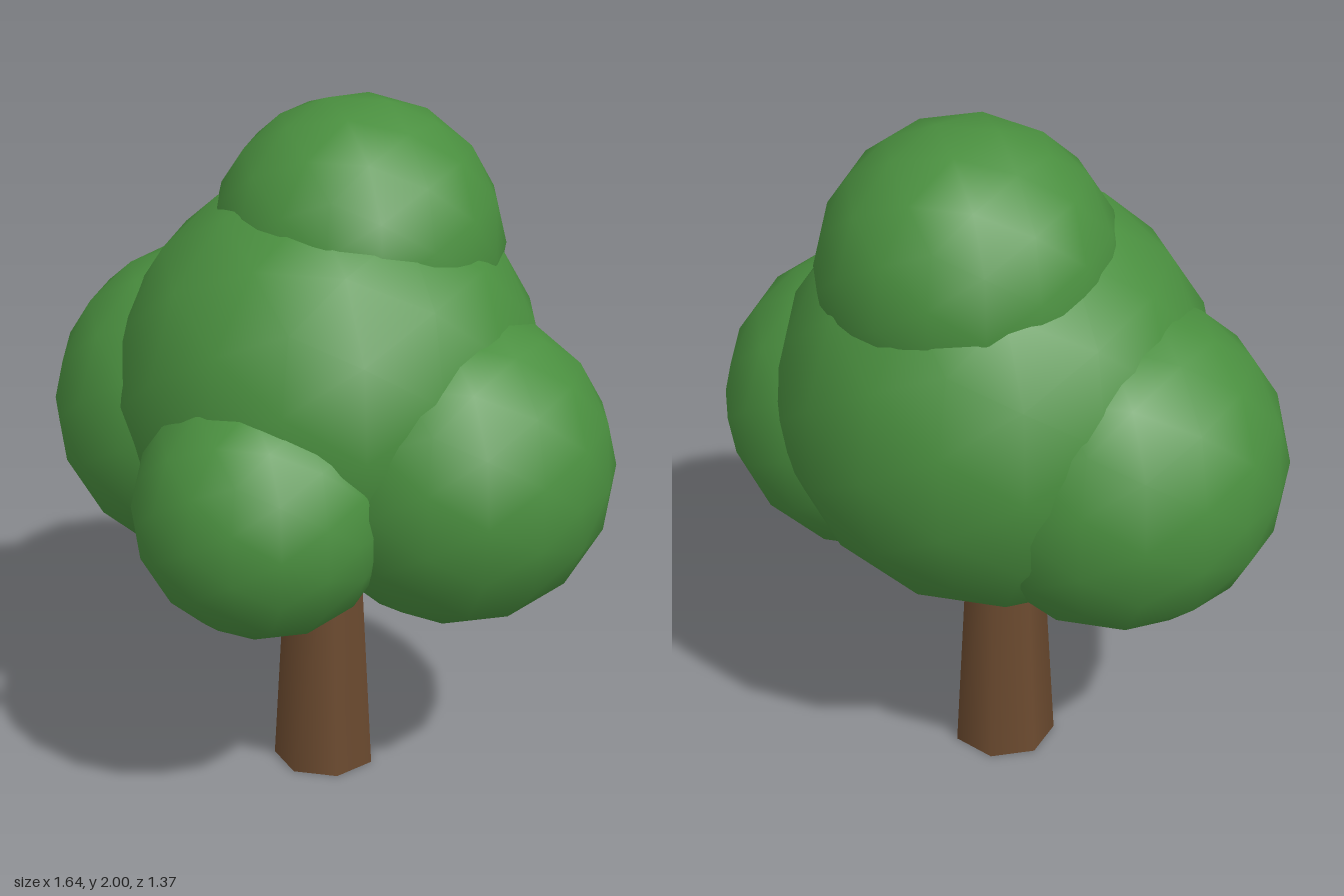
import * as THREE from 'three';

export function createModel() {
  const tree = new THREE.Group();
  tree.name = 'tree';

  const bark = new THREE.MeshStandardMaterial({ color: 0x6b4a2f });
  bark.name = 'bark brown';
  const leaves = new THREE.MeshStandardMaterial({ color: 0x4a8f3f });
  leaves.name = 'leaf green';

  // Tapered seven-sided trunk, running up into the crown
  const height = 0.75;
  const trunk = new THREE.Mesh(new THREE.CylinderGeometry(0.11, 0.152, height, 7), bark);
  trunk.name = 'trunk';
  trunk.rotation.y = Math.PI;
  trunk.position.set(-0.013, height / 2, -0.07);
  tree.add(trunk);

  // Overlapping round clumps of foliage: name, radius, centre
  const clumps = [
    ['mainFoliage', 0.614, 0, 1.2, -0.086],
    ['topFoliage', 0.415, 0.06, 1.593, -0.154],
    ['rightFoliage', 0.47, -0.36, 1.077, -0.18],
    ['leftFoliage', 0.447, 0.382, 1.037, 0.055],
    ['frontFoliage', 0.363, -0.097, 0.98, 0.328],
  ];
  for (const [name, radius, x, y, z] of clumps) {
    const clump = new THREE.Mesh(new THREE.IcosahedronGeometry(radius, 2), leaves);
    clump.name = name;
    clump.position.set(x, y, z);
    tree.add(clump);
  }

  return tree;
}
